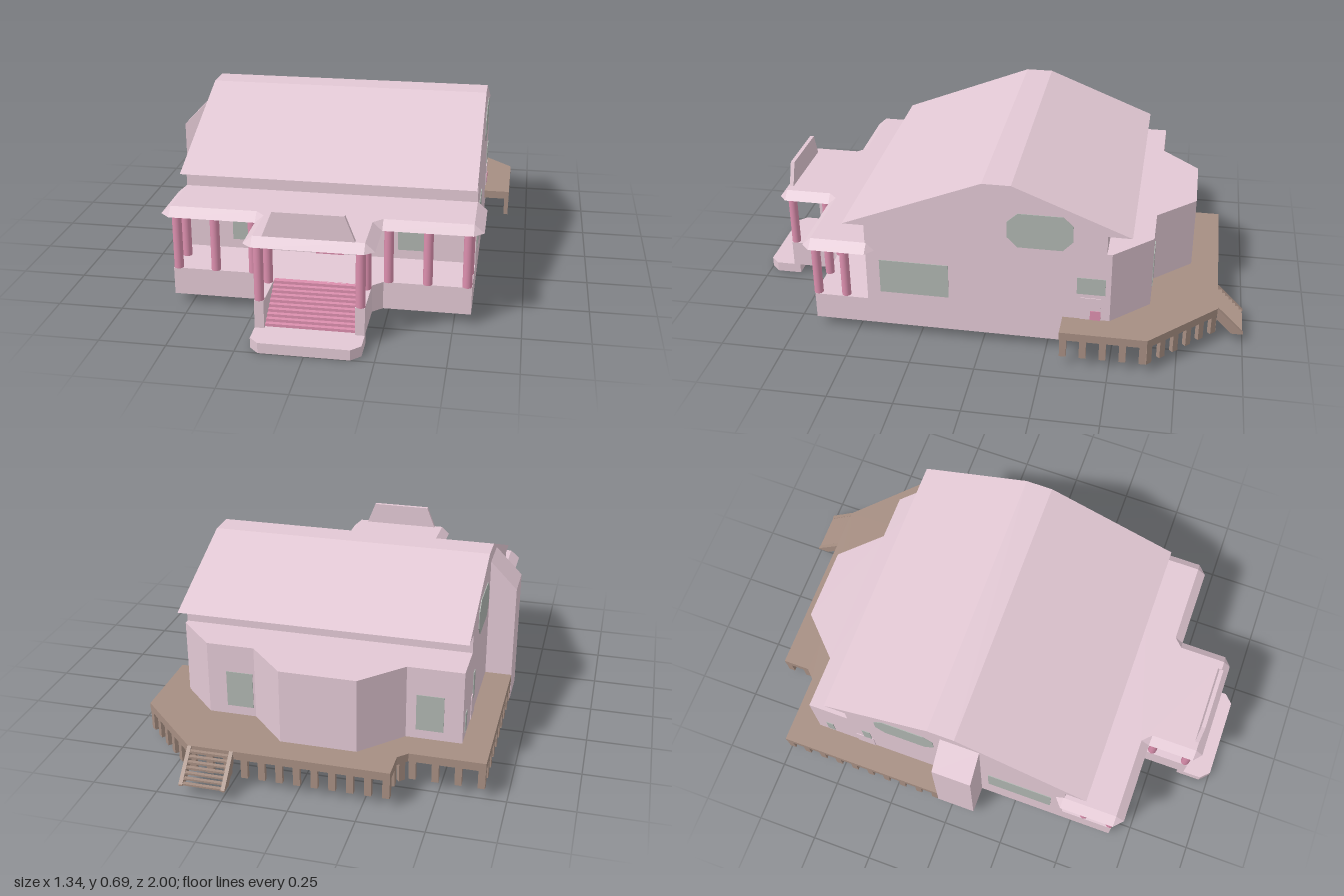
import * as THREE from 'three';

const mat = (color) => new THREE.MeshStandardMaterial({ color });

export function createModel() {
  const root = new THREE.Group();
  const wall = mat(0xe2c8d4), pink = mat(0xdc8fae), wood = mat(0xa68e82), glass = mat(0xafb5b0);

  const add = (name, geo, m, parent = root) => {
    const mesh = new THREE.Mesh(geo, m);
    mesh.name = name;
    parent.add(mesh);
    return mesh;
  };
  const group = (name) => {
    const g = new THREE.Group();
    g.name = name;
    root.add(g);
    return g;
  };
  const toShape = (pts) => new THREE.Shape(pts.map(([a, b]) => new THREE.Vector2(a, b)));
  const extrude = (pts, depth) => new THREE.ExtrudeGeometry(toShape(pts), { depth, bevelEnabled: false });
  // Box given by its limits
  const box = (x0, x1, y0, y1, z0, z1) =>
    new THREE.BoxGeometry(x1 - x0, y1 - y0, z1 - z0).translate((x0 + x1) / 2, (y0 + y1) / 2, (z0 + z1) / 2);
  // Plan outline [x, z] raised from y0 to y1
  const plan = (pts, y0, y1) =>
    extrude(pts.map(([x, z]) => [x, -z]), y1 - y0).rotateX(-Math.PI / 2).translate(0, y0, 0);
  // Side profile [z, y] swept from x0 to x1
  const side = (pts, x0, x1) =>
    extrude(pts.map(([z, y]) => [-z, y]), x1 - x0).rotateY(Math.PI / 2).translate(x0, 0, 0);
  // Half outline (x > 0) completed by its mirror image
  const mirrored = (half) => [...half, ...half.map(([x, ...r]) => [-x, ...r]).reverse()];

  // Main house with overhanging roof
  const W = 0.563;
  add('house', side([[0.455, 0.04], [0.455, 0.477], [0.54, 0.477], [0, 0.693], [-0.11, 0.693],
    [-0.56, 0.515], [-0.47, 0.515], [-0.47, 0.04]], -W, W), wall);

  // Rear wing with angled bay
  const bay = [[-W, -0.635], [-0.35, -0.635], [-0.2, -0.785], [0.09, -0.785], [0.235, -0.635],
    [0.42, -0.635], [W, -0.49]];
  add('rearWing', plan([[-W, -0.46], ...bay, [W, -0.46]], 0.04, 0.44), wall);

  // Chimney with sloped shoulder
  add('chimney', extrude([[-0.67, 0.04], [-W, 0.04], [-W, 0.64], [-0.67, 0.53]], 0.16).translate(0, 0, -0.06), wall);
  add('footing', box(-W, -0.2, 0.022, 0.04, -0.05, -0.02), wall);

  // Front porch: floor, side walls of the stairs, landing
  const porch = group('porch');
  add('porchFloor', plan(mirrored([[0.2, 0.705], [0.237, 0.67], [W, 0.67], [W, 0.45]]), 0.04, 0.148), wall, porch);
  for (const s of [-1, 1]) {
    const x = s * 0.1825;
    add('stairWall', box(x - 0.0175, x + 0.0175, 0.04, 0.148, 0.7, 0.89), wall, porch);
  }
  add('landing', plan(mirrored([[0.165, 1], [0.2, 0.965], [0.2, 0.865]]), 0, 0.04), wall, porch);
  const steps = 10;
  for (let i = 0; i < steps; i++) {
    const y = 0.04 + (i + 1) * 0.108 / steps, z = 0.875 - i * 0.017;
    add('frontStep', box(-0.165, 0.165, y - 0.0115, y, z - 0.022, z), pink, porch);
  }

  // Round columns
  for (const [x, z] of [[0.183, 0.876], [0.183, 0.731], [0.255, 0.66], [0.4, 0.66], [0.545, 0.66], [0.545, 0.547]])
    for (const s of [-1, 1])
      add('column', new THREE.CylinderGeometry(0.0178, 0.0178, 0.222, 16).translate(s * x, 0.259, z), pink, porch);

  // Porch roof with flared eaves: top x, top z, eave x, eave z
  const eaves = mirrored([[0.2, 0.89, 0.2, 0.92], [0.2, 0.89, 0.235, 0.89], [0.2, 0.705, 0.235, 0.705],
    [0.235, 0.67, 0.235, 0.705], [W, 0.67, W, 0.705], [W, 0.67, 0.6, 0.67], [W, 0.45, 0.6, 0.45],
    [W, 0.45, W, 0.42]].map(([a, b, c, d]) => [a, b, c, d]));
  const n = eaves.length;
  for (let i = n / 2; i < n; i++) eaves[i][2] *= -1;
  const top = eaves.map(([x, z]) => [x, 0.4, z]);
  const low = eaves.map(([, , x, z]) => [x, 0.368, z]);
  const pos = [];
  for (let i = 0; i < n; i++) {
    const j = (i + 1) % n;
    pos.push(...low[i], ...low[j], ...top[j], ...low[i], ...top[j], ...top[i]);
  }
  const cap = (ring, flip) => {
    const flat = ring.map(([x, , z]) => new THREE.Vector2(x, -z));
    for (const [a, b, c] of THREE.ShapeUtils.triangulateShape(flat, []))
      for (const k of flip ? [a, c, b] : [a, b, c]) pos.push(...ring[k]);
  };
  cap(top, false);
  cap(low, true);
  const roofGeo = new THREE.BufferGeometry();
  roofGeo.setAttribute('position', new THREE.Float32BufferAttribute(pos, 3));
  roofGeo.computeVertexNormals();
  add('porchRoof', roofGeo, wall, porch);
  add('pediment', extrude([[-0.165, 0.4], [0.165, 0.4], [0.128, 0.494], [-0.128, 0.494]], 0.016)
    .translate(0, 0, 0.874), wall, porch);

  // Windows and doors
  const openings = group('windowsAndDoors');
  const t = 0.003;
  const oct = [[-0.095, 0.48], [-0.135, 0.44], [-0.305, 0.44], [-0.343, 0.48],
    [-0.343, 0.545], [-0.305, 0.582], [-0.135, 0.582], [-0.095, 0.545]];
  for (const s of [-1, 1]) {
    const a = s * W - t, b = s * W + t;
    add('frontWindow', box(s * 0.325 - 0.06, s * 0.325 + 0.06, 0.185, 0.33, 0.455 - t, 0.455 + t), glass, openings);
    add('sideWindow', box(a, b, 0.188, 0.33, 0.132, 0.402), glass, openings);
    add('gableWindow', side(oct, a, b), glass, openings);
    add('sideDoor', box(a, b, 0.148, 0.243, -0.455, -0.378), wall, openings);
  }
  add('smallWindow', box(W - t, W + t, 0.26, 0.33, -0.47, -0.362), glass, openings);
  add('sideDoorPanel', box(W, W + 0.005, 0.148, 0.188, -0.455, -0.415), pink, openings);
  add('narrowWindow', box(-W - t, -W + t, 0.17, 0.25, -0.59, -0.56), glass, openings);
  add('narrowWindow', box(-W - t, -W + t, 0.22, 0.33, -0.42, -0.385), glass, openings);
  for (const x of [0.295, -0.44])
    add('rearWindow', box(x - 0.052, x + 0.052, 0.185, 0.33, -0.635 - t, -0.635 + t), glass, openings);
  add('frontDoor', box(-0.055, 0.055, 0.148, 0.295, 0.45, 0.459), wall, openings);
  add('frontDoorPanel', box(-0.055, 0.055, 0.148, 0.185, 0.45, 0.461), pink, openings);

  // Rear deck wrapping round the wing
  const deck = group('deck');
  const rim = [[-0.67, -0.06], [-0.67, -0.75], [-0.385, -0.75], [-0.35, -0.785], [-0.35, -0.895],
    [0.41, -0.895], [0.67, -0.64], [0.67, -0.31]];
  add('deckFloor', plan([...rim, [W, -0.31], ...[...bay].reverse(), [-W, -0.06]], 0.115, 0.148), wood, deck);

  // Posts spaced along the rim, set just inside it
  for (let i = 0; i < rim.length - 1; i++) {
    const [x0, z0] = rim[i], [x1, z1] = rim[i + 1];
    const len = Math.hypot(x1 - x0, z1 - z0), dx = (x1 - x0) / len, dz = (z1 - z0) / len;
    const count = Math.max(1, Math.round(len / 0.066));
    for (let k = 0; k < count; k++) {
      const d = 0.015 + (len - 0.03) * (count > 1 ? k / (count - 1) : 0.5);
      const post = add('deckPost', new THREE.BoxGeometry(0.026, 0.078, 0.018), wood, deck);
      post.position.set(x0 + dx * d - dz * 0.01, 0.079, z0 + dz * d + dx * 0.01);
      post.rotation.y = Math.atan2(-dz, dx);
    }
  }

  // Rear stairs with two stringers
  for (const x of [0.235, 0.397])
    add('stringer', side([[-0.895, 0.148], [-1, 0.046], [-1, 0.04], [-0.955, 0.04], [-0.895, 0.1]], x, x + 0.015), wood, deck);
  for (let i = 0; i < 7; i++) {
    const y = 0.135 - i * 0.0143, z = -0.897 - i * 0.0143;
    add('rearStep', box(0.25, 0.397, y - 0.007, y, z - 0.0143, z), wood, deck);
  }
  return root;
}
